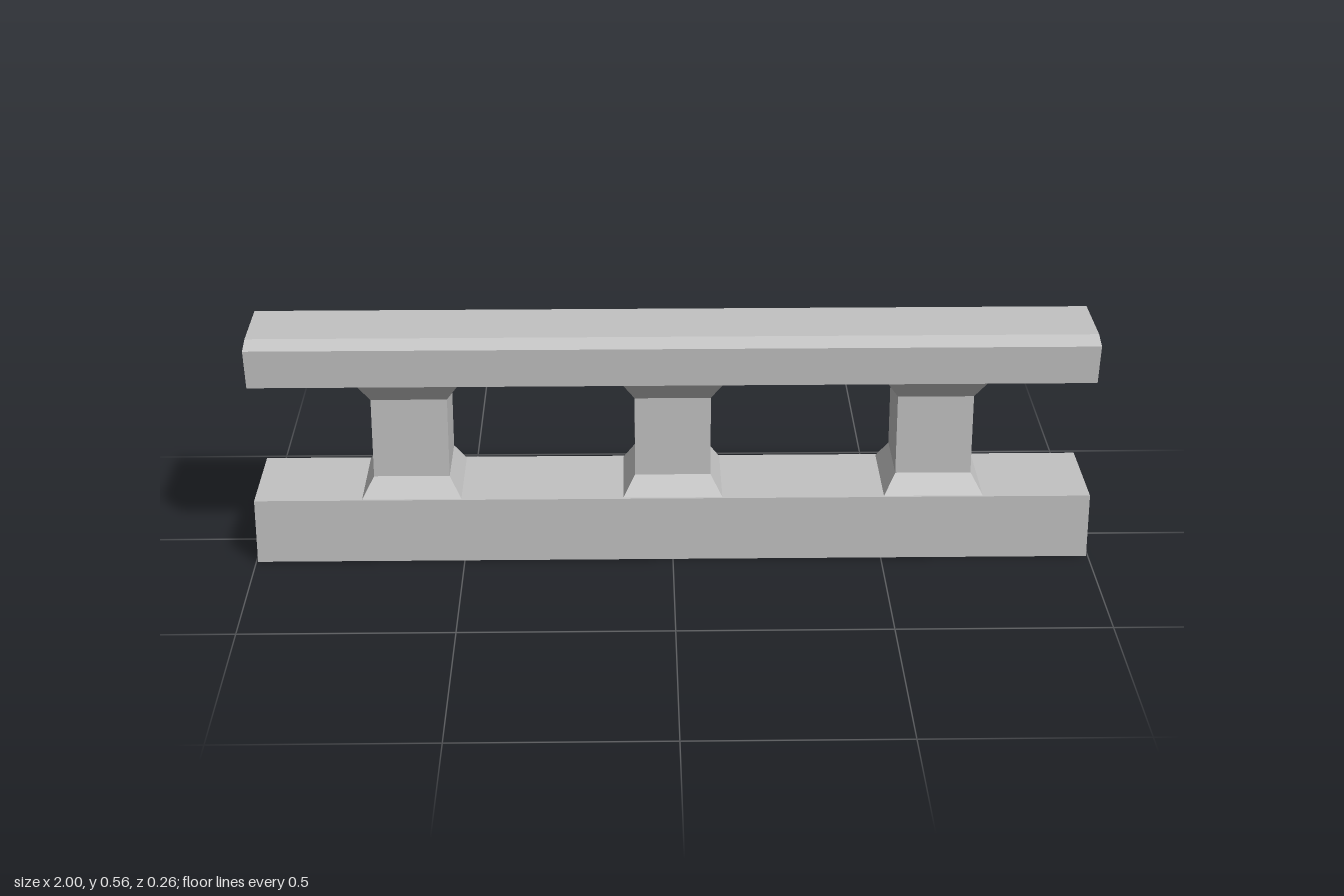
import * as THREE from 'three';

// Flat-faced geometry from a list of convex polygons (corners counter-clockwise from outside)
function fromFaces(faces) {
  const pos = [];
  for (const f of faces) {
    for (let i = 1; i < f.length - 1; i++) pos.push(...f[0], ...f[i], ...f[i + 1]);
  }
  const g = new THREE.BufferGeometry();
  g.setAttribute('position', new THREE.Float32BufferAttribute(pos, 3));
  g.computeVertexNormals();
  return g;
}

// Stack of rectangular sections [halfX, halfZ, y], closed at both ends
function loft(sections) {
  const rings = sections.map(([x, z, y]) => [[x, y, z], [x, y, -z], [-x, y, -z], [-x, y, z]]);
  const faces = [[...rings[0]].reverse(), rings[rings.length - 1]];
  for (let s = 0; s < rings.length - 1; s++) {
    const a = rings[s], b = rings[s + 1];
    for (let i = 0; i < 4; i++) {
      const j = (i + 1) % 4;
      faces.push([a[i], a[j], b[j], b[i]]);
    }
  }
  return fromFaces(faces);
}

// Base beam: top and long walls, with the ends and underside folded in to a central point
function baseGeometry(x, z, top) {
  const loop = [
    [x, top, z], [x, 0, z], [-x, 0, z], [-x, top, z],
    [-x, top, -z], [-x, 0, -z], [x, 0, -z], [x, top, -z],
  ];
  const centre = [0, 0.077, 0];
  const faces = [
    [loop[0], loop[7], loop[4], loop[3]],
    [loop[2], loop[1], loop[0], loop[3]],
    [loop[6], loop[5], loop[4], loop[7]],
  ];
  loop.forEach((p, i) => faces.push([p, loop[(i + 1) % 8], centre]));
  return fromFaces(faces);
}

export function createModel() {
  const group = new THREE.Group();
  const stone = new THREE.MeshStandardMaterial({ color: 0xc2c2c2 });
  stone.name = 'grey stone';

  const add = (name, geometry, x = 0) => {
    const mesh = new THREE.Mesh(geometry, stone);
    mesh.name = name;
    mesh.position.x = x;
    group.add(mesh);
  };

  add('base', baseGeometry(0.996, 0.127, 0.16));

  // Handrail with bevelled long edges
  add('handrail', loft([[0.996, 0.126, 0.45], [1, 0.129, 0.543], [0.998, 0.093, 0.56]]));

  // Square posts flaring at foot and head
  const post = loft([
    [0.118, 0.121, 0.16], [0.09, 0.091, 0.207], [0.09, 0.091, 0.404], [0.118, 0.121, 0.45],
  ]);
  ['rightPost', 'middlePost', 'leftPost'].forEach((name, i) => add(name, post, (i - 1) * 0.622));

  return group;
}
